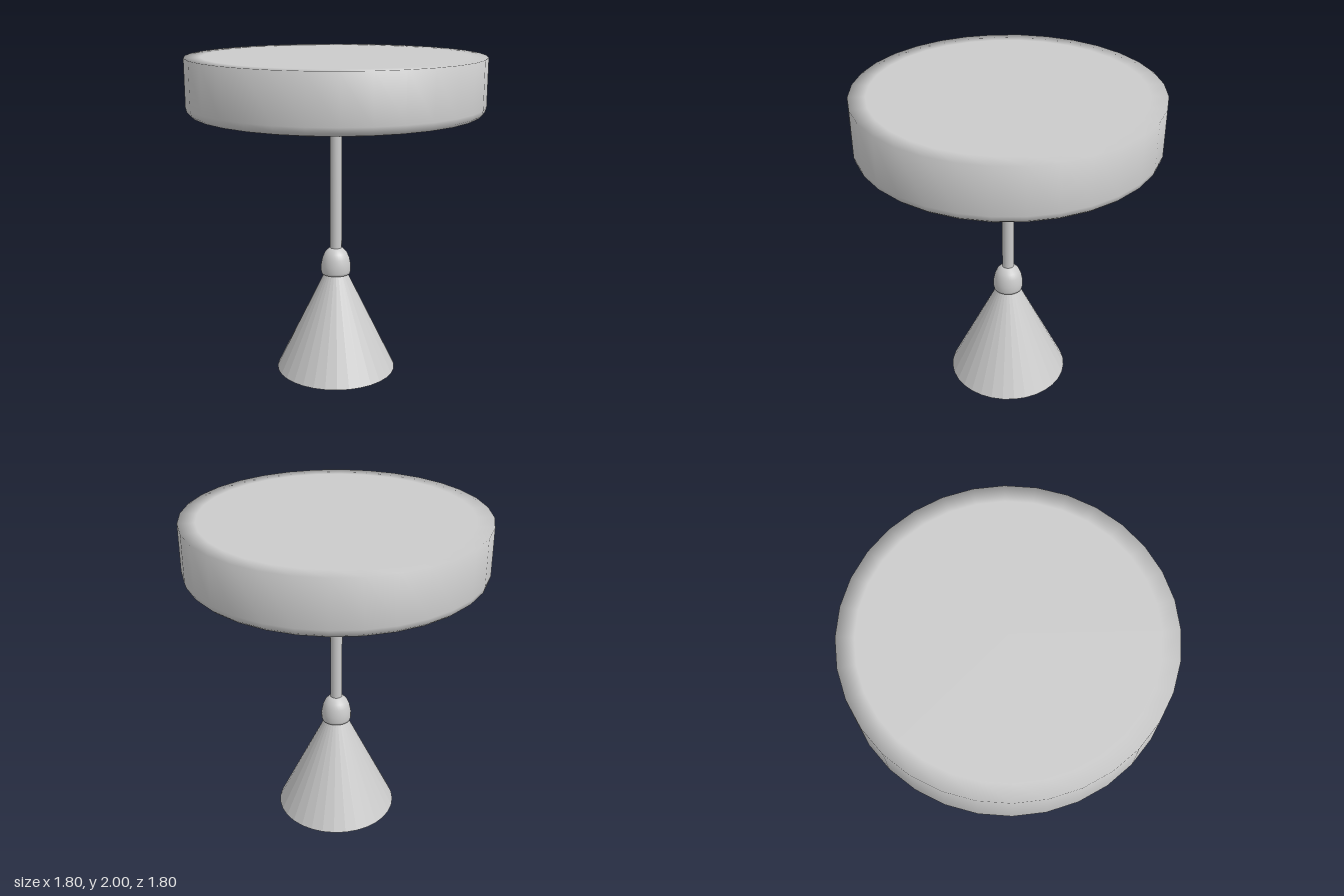
import * as THREE from 'three';

const SIDES = 32;
const grey = new THREE.MeshStandardMaterial({ color: 0xcccccc });
const shadeGrey = new THREE.MeshStandardMaterial({ color: 0xcccccc, flatShading: true, side: THREE.DoubleSide });

export function createModel() {
  const model = new THREE.Group();

  const add = (name, geometry, material = grey, y = 0) => {
    const mesh = new THREE.Mesh(geometry, material);
    mesh.name = name;
    mesh.position.y = y;
    model.add(mesh);
  };
  // profile of [radius, height] pairs, from the bottom up
  const turned = (profile) =>
    new THREE.LatheGeometry(profile.map(([r, y]) => new THREE.Vector2(r, y)), SIDES);
  const rod = (radius, bottom, top) =>
    new THREE.CylinderGeometry(radius, radius, top - bottom, SIDES).translate(0, (top + bottom) / 2, 0);

  // ceiling disc: rounded lower edge, softly shaded upper edge
  add('ceilingCanopy', turned([
    [0, 1.66], [0.75, 1.66], [0.845, 1.66], [0.872, 1.666], [0.892, 1.684], [0.9, 1.715],
    [0.9, 2], [0.8, 2], [0, 2],
  ]));

  // hanging rod and its collar under the disc
  add('collar', rod(0.065, 1.52, 1.665));
  add('stem', rod(0.037, 0.79, 1.53));

  // domed socket cap
  add('socketCap', turned([
    [0, 0.63], [0.08, 0.63], [0.09, 0.634], [0.094, 0.65], [0.094, 0.69],
    [0.085, 0.735], [0.07, 0.77], [0.04, 0.802], [0, 0.802],
  ]));

  // open faceted cone
  add('shade', new THREE.CylinderGeometry(0.072, 0.38, 0.635, SIDES, 1, true), shadeGrey, 0.3175);

  return model;
}
